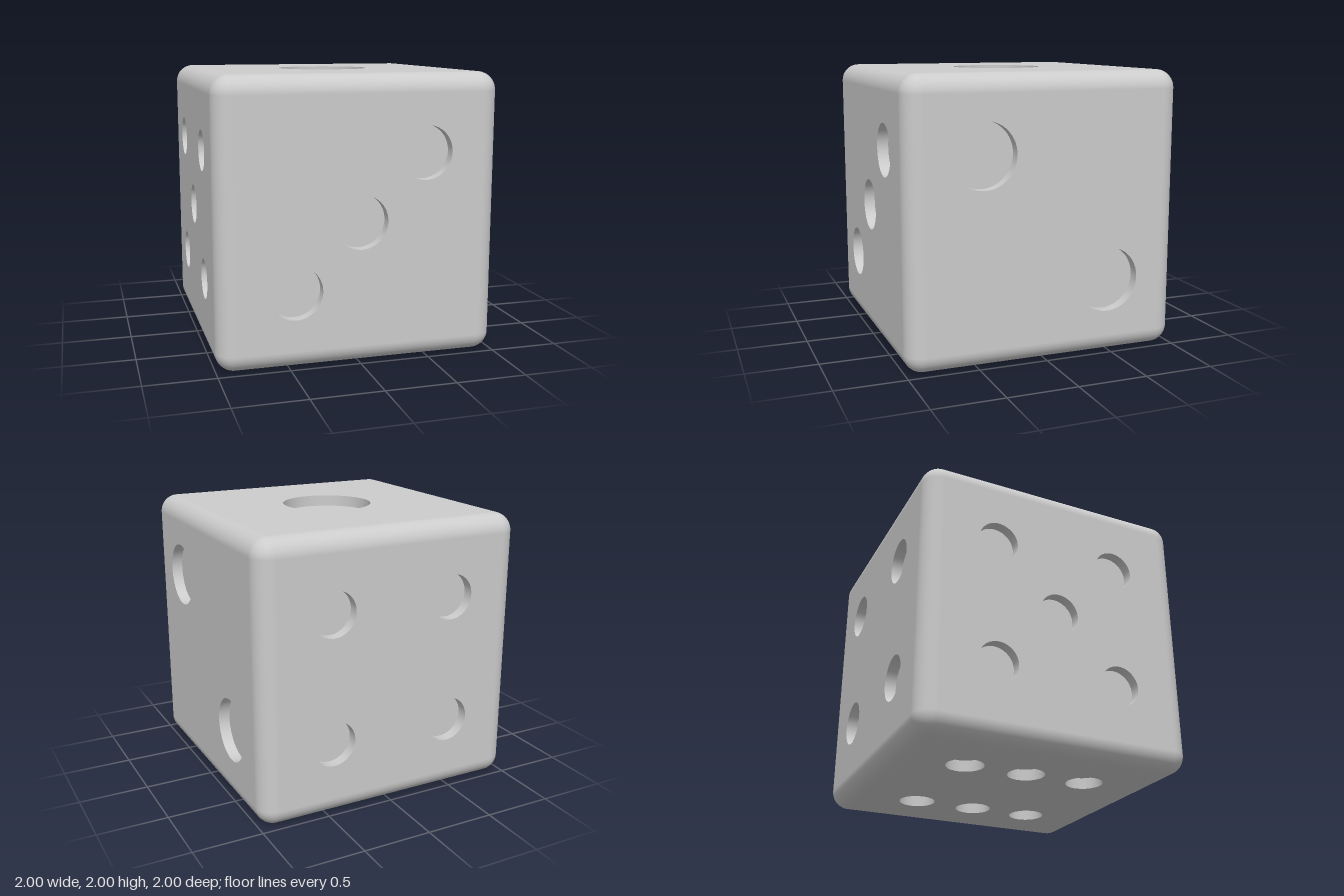
import * as THREE from 'three';

const EDGE = 0.13;      // rounding radius
const H = 1 - EDGE;     // half size of each flat face
const P = 0.46;         // pip offset from the face centre
const DEPTH = 0.08;     // pip depth
const ONE_PIP = 0.325;  // radius of the single pip; each face shares the same total pip area
const Q = Math.PI / 2;

const grey = new THREE.MeshStandardMaterial({ color: 0xcccccc });
grey.name = 'plainGrey';

function add(parent, name, geometry) {
  const mesh = new THREE.Mesh(geometry, grey);
  mesh.name = name;
  parent.add(mesh);
  return mesh;
}

// Flat face at z = 1 with round, flat-bottomed recesses
function makeFace(name, pips, rx, ry) {
  const face = new THREE.Group();
  face.name = name;
  const r = ONE_PIP / Math.sqrt(pips.length);

  const panel = new THREE.Shape([[-H, -H], [H, -H], [H, H], [-H, H]].map(p => new THREE.Vector2(...p)));
  for (const [x, y] of pips) panel.holes.push(new THREE.Path().absarc(x, y, r, 0, Math.PI * 2, true));
  add(face, 'panel', new THREE.ShapeGeometry(panel, 32)).position.z = 1;

  // Wall profile runs downward so that it faces inward
  const wall = new THREE.LatheGeometry([new THREE.Vector2(r, 0), new THREE.Vector2(r, -DEPTH)], 64).rotateX(Q);
  const floor = new THREE.CircleGeometry(r, 64);
  for (const [x, y] of pips) {
    add(face, 'pipWall', wall).position.set(x, y, 1);
    add(face, 'pipFloor', floor).position.set(x, y, 1 - DEPTH);
  }
  face.rotation.set(rx, ry, 0);
  return face;
}

export function createModel() {
  const die = new THREE.Group();
  die.name = 'die';
  const body = new THREE.Group();
  body.name = 'body';
  body.position.y = 1;
  die.add(body);

  // Six faces
  const rising = [[-P, -P], [P, P]];
  const falling = [[-P, P], [P, -P]];
  const four = [...rising, ...falling];
  body.add(
    makeFace('topFace', [[0, 0]], -Q, 0),
    makeFace('leftFace', falling, 0, Q),
    makeFace('frontFace', [...rising, [0, 0]], 0, 0),
    makeFace('backFace', four, 0, Math.PI),
    makeFace('rightFace', [...four, [0, 0]], 0, -Q),
    makeFace('bottomFace', [...four, [-P, 0], [P, 0]], Q, 0),
  );

  // Twelve rounded edges and eight rounded corners
  for (let k = 0; k < 4; k++) {
    const edge = () => new THREE.CylinderGeometry(EDGE, EDGE, 2 * H, 12, 1, true, 0, Q)
      .translate(H, 0, H).rotateY(k * Q);
    add(body, 'uprightEdge', edge());
    add(body, 'sideToSideEdge', edge().rotateZ(Q));
    add(body, 'frontToBackEdge', edge().rotateX(Q));

    const corner = () => new THREE.SphereGeometry(EDGE, 12, 12, 0, Q, 0, Q)
      .translate(-H, H, H).rotateY(k * Q);
    add(body, 'topCorner', corner());
    add(body, 'bottomCorner', corner().rotateX(Math.PI));
  }
  return die;
}
